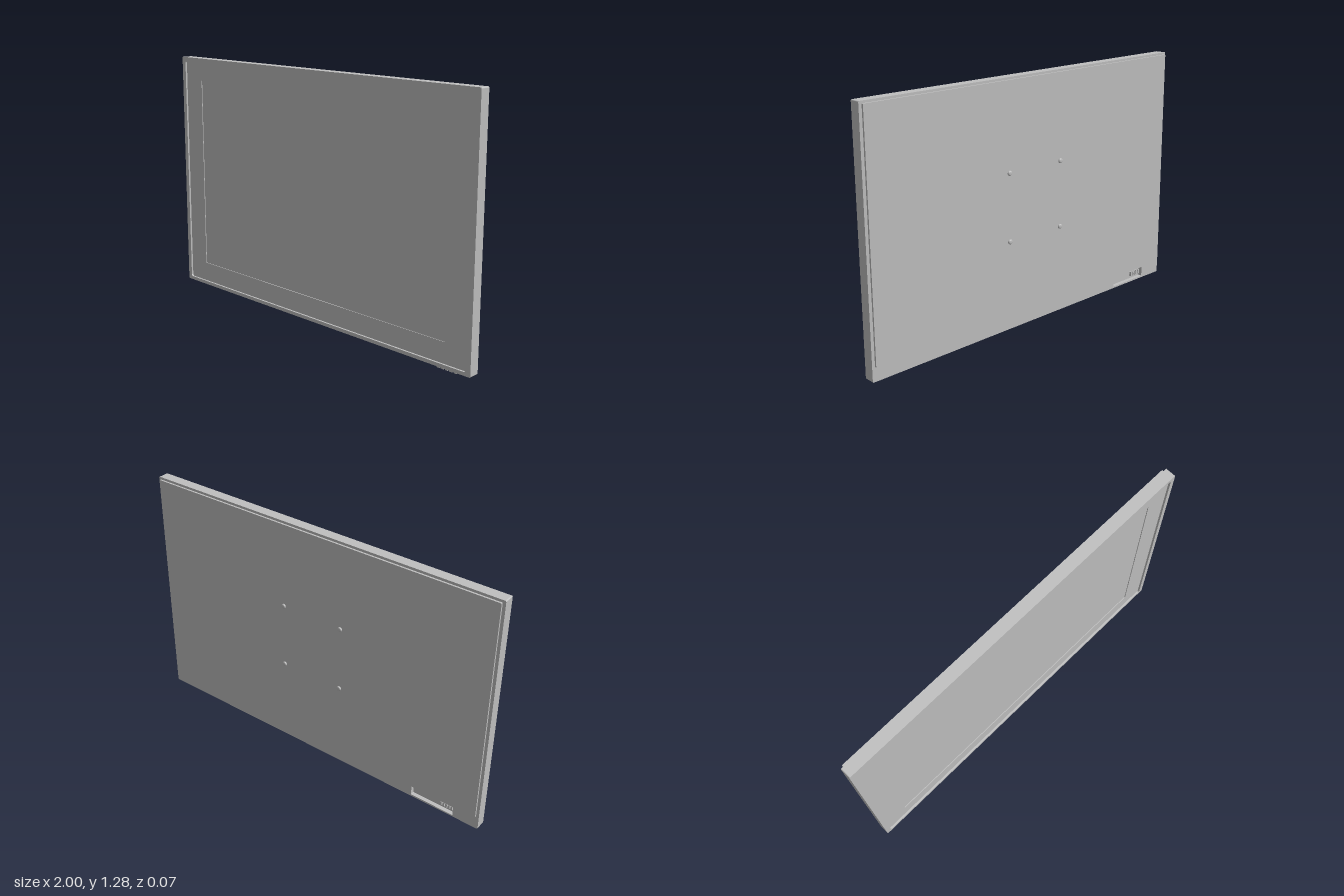
import * as THREE from 'three';

const grey = new THREE.MeshStandardMaterial({ color: 0xbfbfbf });
grey.name = 'grey casing';

// Traces a rounded rectangle onto a Shape or Path
function roundRect(path, x0, y0, x1, y1, r) {
  path.moveTo(x0 + r, y0);
  path.lineTo(x1 - r, y0);
  path.absarc(x1 - r, y0 + r, r, -Math.PI / 2, 0);
  path.lineTo(x1, y1 - r);
  path.absarc(x1 - r, y1 - r, r, 0, Math.PI / 2);
  path.lineTo(x0 + r, y1);
  path.absarc(x0 + r, y1 - r, r, Math.PI / 2, Math.PI);
  path.lineTo(x0, y0 + r);
  path.absarc(x0 + r, y0 + r, r, Math.PI, Math.PI * 1.5);
  return path;
}

// Slab between two depths, with an optional opening; rects are [x0, y0, x1, y1, radius]
function slab(name, rect, z0, z1, hole) {
  const shape = roundRect(new THREE.Shape(), ...rect);
  if (hole) shape.holes.push(roundRect(new THREE.Path(), ...hole));
  const geo = new THREE.ExtrudeGeometry(shape, { depth: z1 - z0, bevelEnabled: false, curveSegments: 6 });
  geo.translate(0, 0, z0);
  const mesh = new THREE.Mesh(geo, grey);
  mesh.name = name;
  return mesh;
}

function box(name, w, h, d, x, y, z) {
  const mesh = new THREE.Mesh(new THREE.BoxGeometry(w, h, d), grey);
  mesh.name = name;
  mesh.position.set(x, y, z);
  return mesh;
}

export function createModel() {
  const model = new THREE.Group();
  model.name = 'flatDisplay';

  const outer = [-1, 0.008, 1, 1.282, 0.006];
  const opening = [-0.975, 0.026, 0.975, 1.262, 0.012];
  const screen = [-0.85, 0.13, 0.85, 1.165, 0.006];
  const portBay = [-0.86, 0.017, -0.62, 0.07, 0.002];

  // Casing in layers, from the back shell to the raised front rim
  model.add(slab('backShell', outer, -0.017, 0.005, portBay));
  model.add(slab('core', outer, 0.005, 0.023));
  model.add(slab('rim', outer, 0.023, 0.037, opening));
  model.add(slab('glassBorder', opening, 0.023, 0.027, screen));

  // Rear cover on a slightly smaller reveal
  model.add(slab('coverReveal', [-0.981, 0.086, 0.981, 1.266, 0.004], -0.0195, -0.017));
  model.add(slab('rearCover', [-0.986, 0.081, 0.986, 1.271, 0.004], -0.029, -0.0195));

  // Four domed mounting screws
  const screwProfile = [[0.0125, 0], [0.0125, 0.004], [0.01, 0.007], [0.006, 0.008], [0, 0.008]]
    .map(([r, h]) => new THREE.Vector2(r, h));
  const screwGeo = new THREE.LatheGeometry(screwProfile, 20);
  screwGeo.rotateX(-Math.PI / 2);
  for (const x of [-0.173, 0.173]) {
    for (const y of [0.477, 0.823]) {
      const screw = new THREE.Mesh(screwGeo, grey);
      screw.name = 'mountScrew';
      screw.position.set(x, y, -0.029);
      model.add(screw);
    }
  }

  // Sockets inside the port bay
  for (let i = 0; i < 5; i++) {
    model.add(box('socket', 0.01, 0.024, 0.012, -0.845 + i * 0.015, 0.044, -0.001));
  }

  // Control buttons under the lower edge
  for (let i = 0; i < 5; i++) {
    model.add(box('button', 0.016, 0.01, 0.022, 0.815 + i * 0.024, 0.005, 0.019));
  }

  return model;
}
